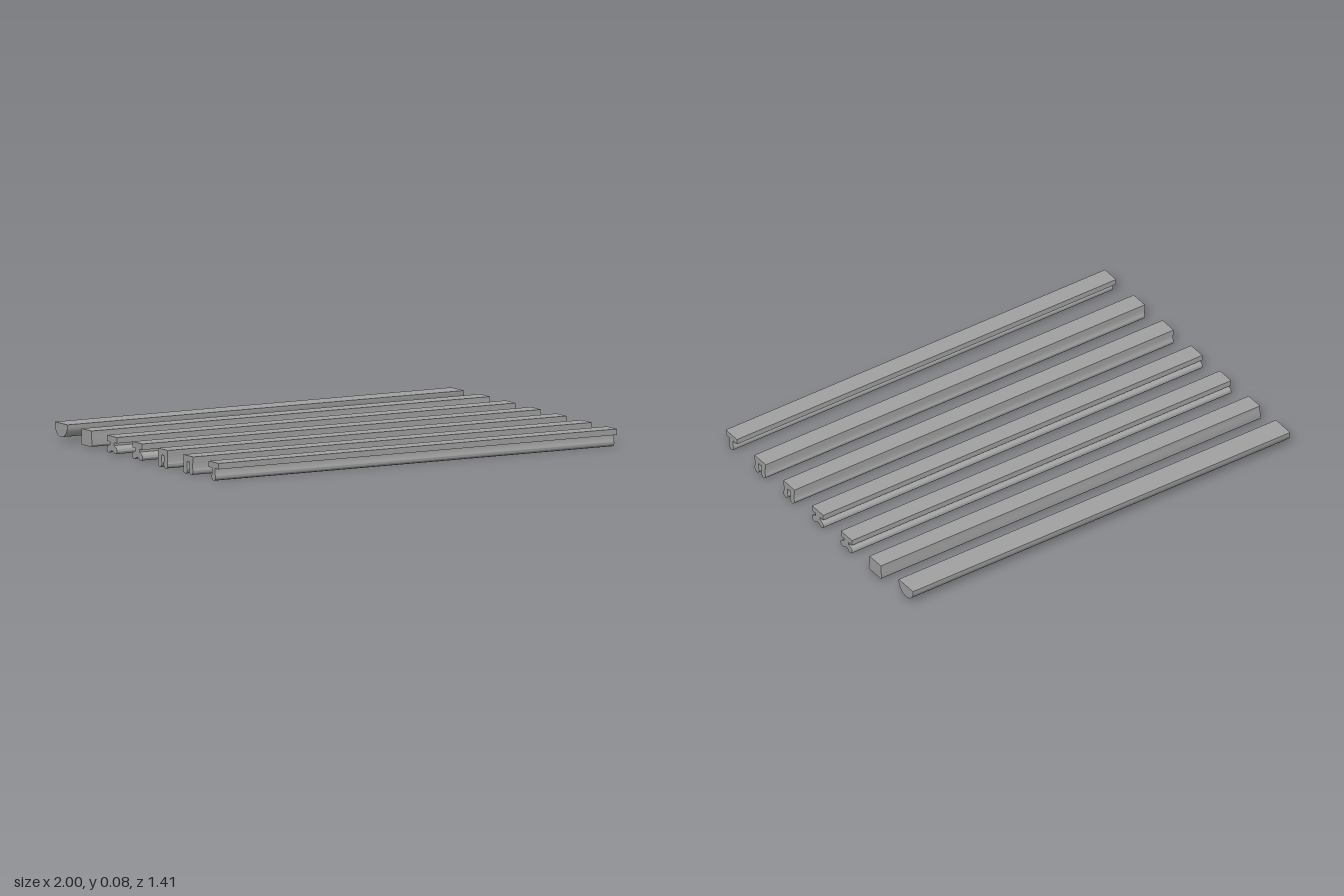
import * as THREE from 'three';
import { toCreasedNormals } from 'three/addons/utils/BufferGeometryUtils.js';

const grey = new THREE.MeshStandardMaterial({ color: 0xa0a0a0 });
grey.name = 'grey';

// Extrudes a cross-section (across, up) along the full x length
function rail(name, shape, length = 2, shift = 0) {
  const geo = new THREE.ExtrudeGeometry(shape, { depth: length, bevelEnabled: false, curveSegments: 12 });
  geo.translate(0, 0, -length / 2);
  geo.rotateY(Math.PI / 2);
  geo.translate(shift, 0, 0);
  const mesh = new THREE.Mesh(toCreasedNormals(geo, 0.7), grey);
  mesh.name = name;
  return mesh;
}

const TOP = 0.081, PLATE = 0.055;

function boxShape(x0, x1, y0, y1) {
  const s = new THREE.Shape();
  s.moveTo(x0, y0).lineTo(x1, y0).lineTo(x1, y1).lineTo(x0, y1).closePath();
  return s;
}

const plate = () => rail('topPlate', boxShape(-0.0425, 0.0425, PLATE, TOP));

// Narrow stem that swells into a round bead
function beadShape(cx) {
  const r = 0.0175, w = 0.014, a = Math.acos(w / r);
  const s = new THREE.Shape();
  s.moveTo(cx - w, PLATE);
  s.lineTo(cx - w, r + r * Math.sin(a));
  s.absarc(cx, r, r, Math.PI - a, Math.PI * 2 + a, false);
  s.lineTo(cx + w, PLATE);
  s.closePath();
  return s;
}

// Drooping two-lobed bean
function beanShape() {
  const half = [[0, 0.018], [0.012, 0.013], [0.024, 0.007], [0.036, 0.008], [0.044, 0.017],
    [0.043, 0.027], [0.034, 0.036], [0.018, 0.042]];
  const pts = [...half, [0, 0.045], ...half.slice(1).reverse().map(([x, y]) => [-x, y])];
  const curve = new THREE.CatmullRomCurve3(pts.map(([x, y]) => new THREE.Vector3(x, y, 0)), true);
  return new THREE.Shape(curve.getPoints(48).slice(0, -1).map(p => new THREE.Vector2(p.x, p.y)));
}

// Block flaring towards a rounded foot
function blockShape() {
  const s = new THREE.Shape();
  s.moveTo(-0.043, TOP);
  s.lineTo(-0.043, 0.055);
  s.lineTo(-0.049, 0.026);
  s.quadraticCurveTo(-0.05, 0.011, -0.036, 0.011);
  s.lineTo(0.036, 0.011);
  s.quadraticCurveTo(0.05, 0.011, 0.049, 0.026);
  s.lineTo(0.043, 0.055);
  s.lineTo(0.043, TOP);
  s.closePath();
  return s;
}

// Flat-topped half round
function halfRoundShape() {
  const s = new THREE.Shape();
  s.moveTo(-0.054, TOP);
  s.lineTo(-0.054, 0.064);
  s.bezierCurveTo(-0.047, 0.036, -0.024, 0.021, 0, 0.021);
  s.bezierCurveTo(0.024, 0.021, 0.047, 0.036, 0.054, 0.064);
  s.lineTo(0.054, TOP);
  s.closePath();
  return s;
}

const singleBead = () => [plate(), rail('bead', beadShape(0))];
const doubleBead = () => [plate(), ...[-1, 1].map(k => rail('bead', beadShape(k * 0.025)))];
const bean = () => [plate(), rail('neck', boxShape(-0.017, 0.017, 0.04, PLATE)), rail('bean', beanShape())];

export function createModel() {
  const model = new THREE.Group();
  model.name = 'railSet';
  const rails = [
    ['singleBeadRail', singleBead()],
    ['doubleBeadRailFront', doubleBead()],
    ['doubleBeadRailBack', doubleBead()],
    ['beanRailFront', bean()],
    ['beanRailBack', bean()],
    ['blockRail', [rail('block', blockShape())]],
    ['halfRoundRail', [rail('halfRound', halfRoundShape(), 1.99, -0.005)]],
  ];
  // Evenly spaced from front to back
  rails.forEach(([name, parts], i) => {
    const g = new THREE.Group();
    g.name = name;
    g.add(...parts);
    g.position.z = 0.664 - i * 0.2188;
    model.add(g);
  });
  return model;
}
